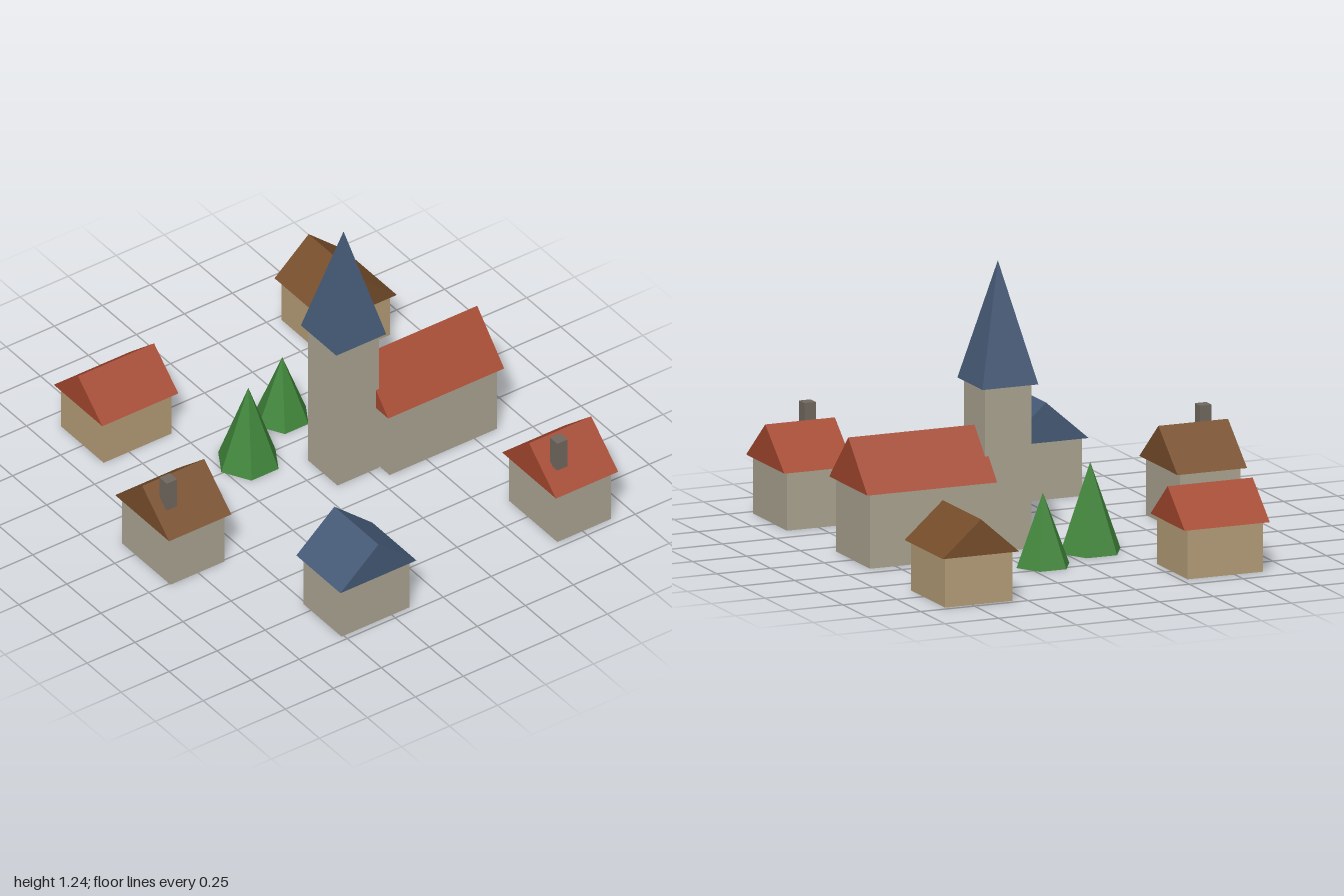
import * as THREE from 'three';

const paint = (name, color) => {
  const m = new THREE.MeshStandardMaterial({ color, flatShading: true });
  m.name = name;
  return m;
};

export function createModel() {
  const stone = paint('stone', 0xaca492);
  const plaster = paint('plaster', 0xb59d78);
  const redTile = paint('redTile', 0xa3472e);
  const brownTile = paint('brownTile', 0x774e2b);
  const blueSlate = paint('blueSlate', 0x455a76);
  const brick = paint('brick', 0x70685f);
  const foliage = paint('foliage', 0x40853a);

  const village = new THREE.Group();
  village.name = 'village';

  const add = (parent, name, geometry, material, x, y, z) => {
    const mesh = new THREE.Mesh(geometry, material);
    mesh.name = name;
    mesh.position.set(x, y, z);
    parent.add(mesh);
    return mesh;
  };

  // Solid gabled prism, ridge along z, base at y = 0
  const gable = (halfWidth, height, length) => {
    const s = new THREE.Shape();
    s.moveTo(-halfWidth, 0);
    s.lineTo(halfWidth, 0);
    s.lineTo(0, height);
    s.closePath();
    return new THREE.ExtrudeGeometry(s, { depth: length, bevelEnabled: false })
      .translate(0, 0, -length / 2);
  };

  // Walls plus overhanging roof; w spans the gable, d runs along the ridge
  const house = ({ name, x, z, w, d, eave, ridge, over = [0.021, 0.022], walls, roof, turned, chimney }) => {
    const g = new THREE.Group();
    g.name = name;
    g.position.set(x, 0, z);
    const body = new THREE.Group();
    body.name = name + 'Shell';
    if (turned) body.rotation.y = Math.PI / 2;
    g.add(body);
    add(body, 'walls', new THREE.BoxGeometry(w, eave, d), walls, 0, eave / 2, 0);
    add(body, 'roof', gable(w / 2 + over[0], ridge - eave, d + 2 * over[1]), roof, 0, eave, 0);
    if (chimney) {
      add(g, 'chimney', new THREE.BoxGeometry(0.054, 0.143, 0.054), brick, chimney[0], 0.412, chimney[1]);
    }
    village.add(g);
  };

  // Houses around the green
  const tall = { eave: 0.255, ridge: 0.428, walls: stone };
  const low = { eave: 0.218, ridge: 0.375, walls: plaster };
  house({ name: 'frontHouse', x: 0.082, z: 0.754, w: 0.354, d: 0.28, roof: brownTile, chimney: [0.081, 0.083], ...tall });
  house({ name: 'backLeftHouse', x: 0.79, z: -0.758, w: 0.354, d: 0.28, roof: redTile, chimney: [0.106, 0.082], ...tall });
  house({ name: 'leftHouse', x: 0.835, z: 0.335, w: 0.354, d: 0.28, roof: blueSlate, turned: true, ...tall });
  house({ name: 'rightHouse', x: -0.757, z: 0.456, w: 0.314, d: 0.352, roof: redTile, ...low });
  house({ name: 'backRightHouse', x: -0.801, z: -0.719, w: 0.314, d: 0.352, roof: brownTile, turned: true, ...low });

  // Church nave, tower and spire
  house({ name: 'nave', x: -0.004, z: -0.588, w: 0.354, d: 0.56, eave: 0.325, ridge: 0.537, walls: stone, roof: redTile });
  const church = new THREE.Group();
  church.name = 'churchTower';
  church.position.set(-0.004, 0, -0.194);
  village.add(church);
  add(church, 'tower', new THREE.BoxGeometry(0.217, 0.717, 0.217), stone, 0, 0.3585, 0);
  const spire = new THREE.ConeGeometry(0.13 * Math.SQRT2, 0.526, 4).rotateY(Math.PI / 4);
  add(church, 'spire', spire, blueSlate, 0, 0.717 + 0.263, 0);

  // Six-sided fir trees: x, z, radius, height
  for (const [x, z, r, h] of [[-0.424, -0.173, 0.123, 0.318], [-0.257, 0.122, 0.141, 0.389]]) {
    add(village, 'firTree', new THREE.ConeGeometry(r, h, 6), foliage, x, h / 2, z);
  }

  return village;
}
